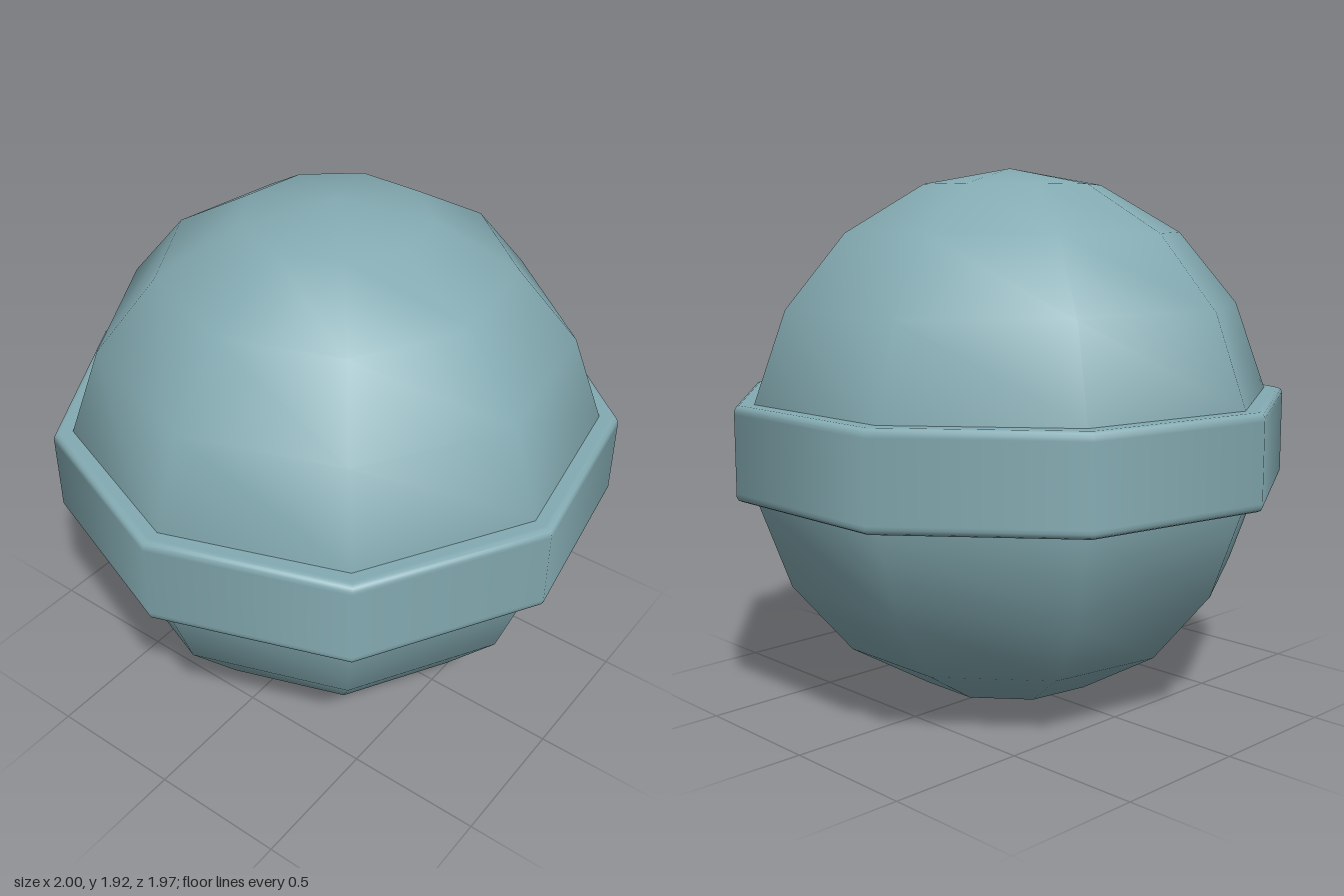
import * as THREE from 'three';

const SIDES = 9;
const RADIUS = 0.96;
const CENTRE_Z = -0.03; // a nine-sided outline is not symmetric front to back

export function createModel() {
  const model = new THREE.Group();
  model.name = 'bandedBall';
  const material = new THREE.MeshStandardMaterial({ color: 0x84abb2 });

  const add = (name, geometry) => {
    const mesh = new THREE.Mesh(geometry, material);
    mesh.name = name;
    mesh.position.set(0, RADIUS, CENTRE_Z);
    model.add(mesh);
  };

  // Smooth-shaded low-poly ball, one corner pointing to the front
  add('ball', new THREE.SphereGeometry(RADIUS, SIDES, SIDES, Math.PI / 2));

  // Raised belt wrapped around the middle row of faces, with bevelled rims
  const inner = RADIUS * Math.sin((80 * Math.PI) / 180);
  const outer = 1.015;
  const half = RADIUS * Math.cos((80 * Math.PI) / 180) - 0.002;
  const upper = [
    [outer, half - 0.03],
    [outer, half - 0.018],
    [outer - 0.006, half - 0.006],
    [outer - 0.018, half],
    [outer - 0.03, half],
    [inner - 0.01, half],
  ].map(([r, y]) => new THREE.Vector2(r, y));
  const lower = upper.map((p) => new THREE.Vector2(p.x, -p.y)).reverse();
  add('belt', new THREE.LatheGeometry([...lower, ...upper], SIDES));

  return model;
}
